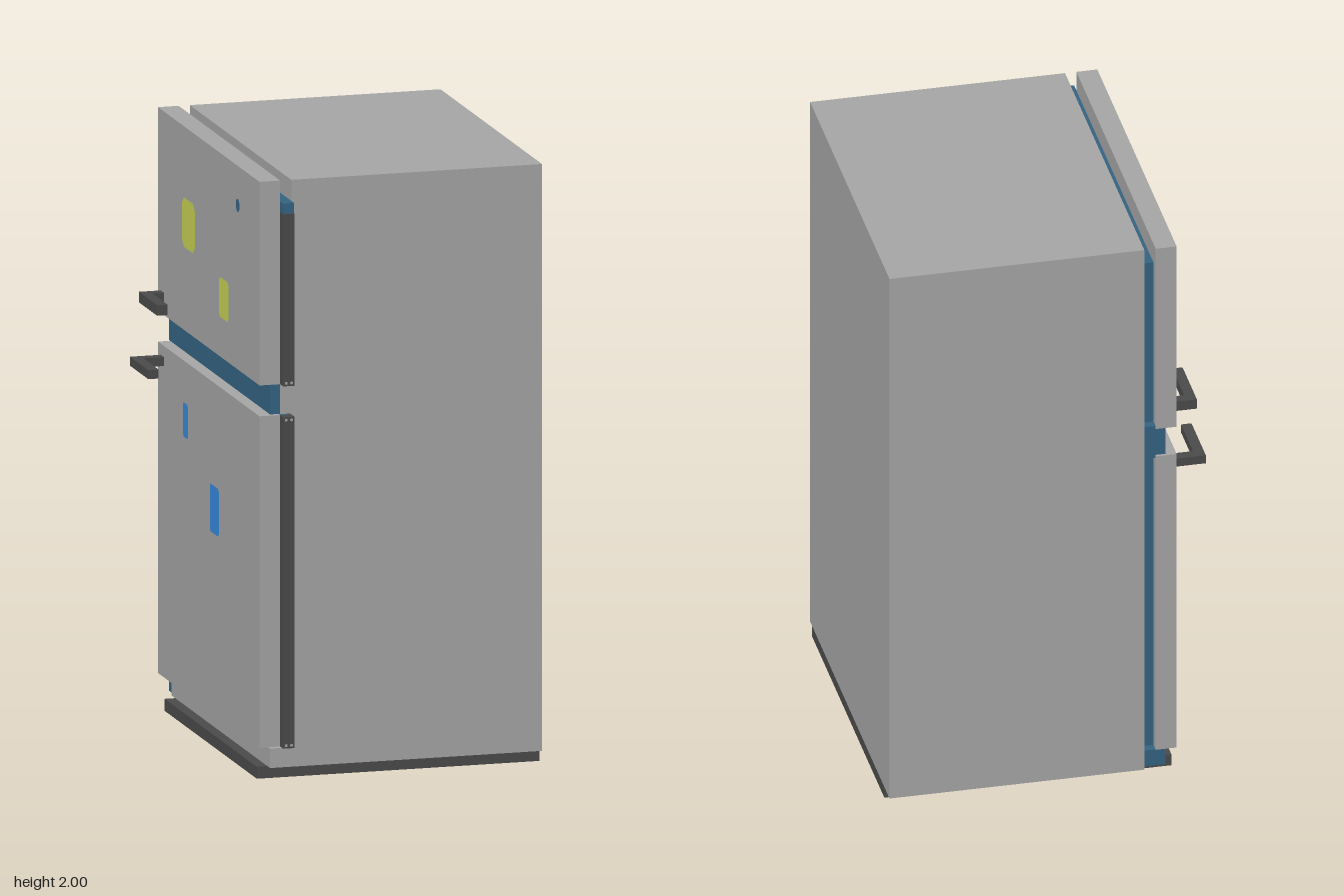
import * as THREE from 'three';

const mat = (name, color) => new THREE.MeshStandardMaterial({ name, color });

export function createModel() {
  const fridge = new THREE.Group();
  fridge.name = 'refrigerator';
  const grey = mat('panelGrey', 0xa6a6a6);
  const dark = mat('darkGrey', 0x4b4b4b);
  const blue = mat('trimBlue', 0x356482);
  const yellow = mat('noteYellow', 0xc6d156);
  const bright = mat('noteBlue', 0x378ade);

  // Box given by its limits on each axis
  const box = (name, m, [x0, x1], [y0, y1], [z0, z1], parent = fridge) => {
    const mesh = new THREE.Mesh(new THREE.BoxGeometry(x1 - x0, y1 - y0, z1 - z0), m);
    mesh.position.set((x0 + x1) / 2, (y0 + y1) / 2, (z0 + z1) / 2);
    mesh.name = name;
    parent.add(mesh);
    return mesh;
  };

  // Cabinet; the doors face -x
  const BACK = -0.606, FRONT = 0.571, GAP = [-0.36, -0.322];
  box('cabinet', grey, [-0.322, 0.53], [0.04, 2], [BACK, FRONT]);
  box('base', dark, [-0.43, 0.53], [0, 0.04], [-0.53, 0.54]);
  box('lowerSill', grey, [-0.394, -0.322], [0.04, 0.105], [-0.57, FRONT]);
  box('lowerSillEnd', blue, [-0.394, -0.322], [0.05, 0.11], [-0.603, -0.57]);

  // Divider between the doors
  box('dividerCore', grey, GAP, [1.22, 1.32], [-0.57, FRONT]);
  box('dividerFace', blue, [-0.394, -0.36], [1.221, 1.319], [-0.603, FRONT]);
  box('dividerEnd', blue, GAP, [1.21, 1.33], [-0.603, -0.57]);

  // Each door with its seal, hinge strip and handle
  const doors = [
    { name: 'upper', y: [1.32, 2], seal: [1.32, 1.93], strip: [1.32, 1.895], handle: [1.36, 1.395], grip: [-0.505, -0.47] },
    { name: 'lower', y: [0.11, 1.217], seal: [0.11, 1.217], strip: [0.11, 1.217], handle: [1.15, 1.18], grip: [-0.535, -0.5] },
  ];
  for (const d of doors) {
    const door = new THREE.Group();
    door.name = d.name + 'Door';
    fridge.add(door);
    box('doorPanel', grey, [-0.43, -0.36], d.y, [BACK, FRONT], door);

    const [s0, s1] = d.seal;
    box('sealTop', blue, GAP, [s1 - 0.035, s1], [-0.573, d.name === 'upper' ? 0.605 : FRONT], door);
    box('sealBottom', blue, GAP, [s0, s0 + 0.035], [-0.573, FRONT], door);
    box('sealSide', blue, GAP, [s0 + 0.035, s1 - 0.035], [-0.573, -0.537], door);
    box('hingeStrip', dark, GAP, d.strip, [0.535, 0.607], door);

    // Screw heads near the inner ends of the hinge strip
    const ends = d.name === 'upper' ? [d.strip[0] + 0.01] : [d.strip[0] + 0.01, d.strip[1] - 0.01];
    for (const y of ends) for (const x of [-0.35, -0.332]) {
      const screw = new THREE.Mesh(new THREE.CircleGeometry(0.005, 8), grey);
      screw.position.set(x, y, 0.608);
      screw.name = 'screw';
      door.add(screw);
    }

    box('handleArm', dark, [d.grip[1], -0.43], d.handle, [-0.573, -0.537], door);
    box('handleGrip', dark, d.grip, d.handle, [-0.573, -0.36], door);
  }

  // Notes on the doors: flat plates with clipped corners
  const note = (name, m, z0, z1, y0, y1, c) => {
    const shape = new THREE.Shape([
      [z0 + c, y0], [z1 - c, y0], [z1, y0 + c], [z1, y1 - c],
      [z1 - c, y1], [z0 + c, y1], [z0, y1 - c], [z0, y0 + c],
    ].map(([a, b]) => new THREE.Vector2(a, b)));
    const mesh = new THREE.Mesh(new THREE.ShapeGeometry(shape).rotateY(-Math.PI / 2), m);
    mesh.position.x = -0.433;
    mesh.name = name;
    fridge.add(mesh);
  };
  note('largeYellowNote', yellow, -0.318, -0.168, 1.6, 1.765, 0.022);
  note('smallYellowNote', yellow, 0.109, 0.224, 1.455, 1.588, 0.014);
  note('smallBlueNote', bright, -0.306, -0.249, 0.965, 1.08, 0.008);
  note('largeBlueNote', bright, 0.005, 0.109, 0.715, 0.875, 0.01);

  // Round badge
  const badge = new THREE.Mesh(new THREE.CircleGeometry(0.022, 16).rotateY(-Math.PI / 2), blue);
  badge.position.set(-0.433, 1.87, 0.328);
  badge.name = 'badge';
  fridge.add(badge);

  return fridge;
}
